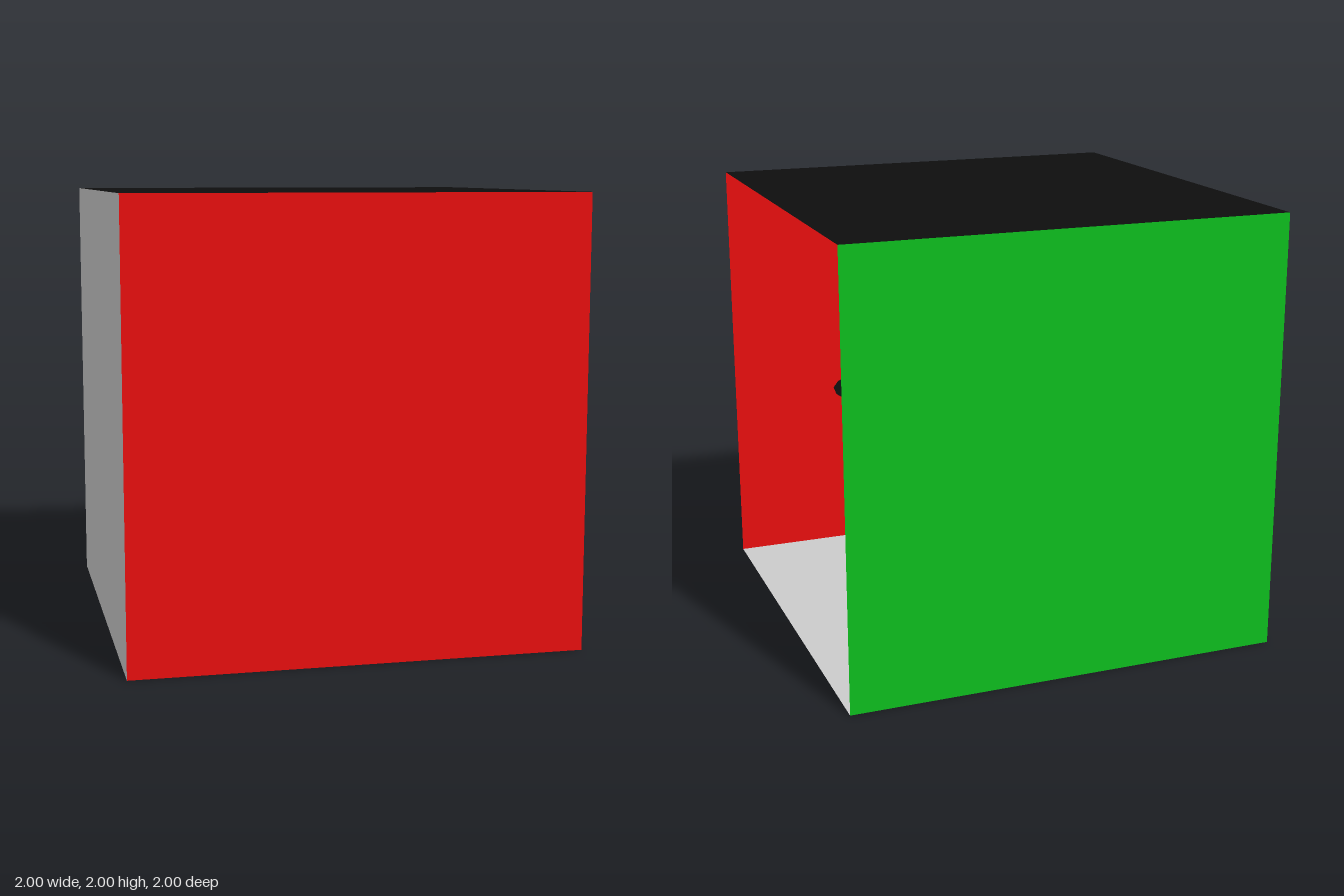
import * as THREE from 'three';

const material = (color) =>
  new THREE.MeshStandardMaterial({ color, side: THREE.DoubleSide });

function addMesh(parent, name, geometry, mat, position = [0, 0, 0], rotation = [0, 0, 0]) {
  const mesh = new THREE.Mesh(geometry, mat);
  mesh.name = name;
  mesh.position.set(...position);
  mesh.rotation.set(...rotation);
  parent.add(mesh);
  return mesh;
}

// Rippled sheet lying flat around y = 0
function rippleGeometry(width, length) {
  const geometry = new THREE.PlaneGeometry(width, length, 36, 60).rotateX(-Math.PI / 2);
  const p = geometry.attributes.position;
  for (let i = 0; i < p.count; i++) {
    const x = p.getX(i), z = p.getZ(i);
    p.setY(i, 0.014 * Math.sin(14 * x + 3 * Math.sin(4 * z)) + 0.012 * Math.sin(17 * z + 5 * x));
  }
  geometry.computeVertexNormals();
  return geometry;
}

export function createModel() {
  const model = new THREE.Group();
  const grey = material(0xcccccc);
  const red = material(0xe60e0e);
  const green = material(0x0dbc1e);
  const black = material(0x0e0e0e);
  const H = Math.PI / 2;

  // Room: five thin sheets, open on the +x side
  const room = new THREE.Group();
  room.name = 'room';
  model.add(room);
  const sheet = new THREE.PlaneGeometry(2, 2);
  addMesh(room, 'floor', sheet, grey, [0, 0, 0], [-H, 0, 0]);
  addMesh(room, 'ceiling', sheet, black, [0, 2, 0], [H, 0, 0]);
  addMesh(room, 'frontWall', sheet, red, [0, 1, 1], [0, Math.PI, 0]);
  addMesh(room, 'backWall', sheet, green, [0, 1, -1]);
  addMesh(room, 'sideWall', sheet, grey, [-1, 1, 0], [0, H, 0]);

  // Open basin, turned on the floor, with a rippled surface inside
  const basin = new THREE.Group();
  basin.name = 'basin';
  basin.position.set(-0.13, 0, 0.14);
  basin.rotation.y = -0.489;
  model.add(basin);
  const W = 0.83, L = 1.39, T = 0.485;
  for (const s of [-1, 1]) {
    addMesh(basin, 'basinLongSide', new THREE.PlaneGeometry(L, T), grey, [s * W / 2, T / 2, 0], [0, s * H, 0]);
    addMesh(basin, 'basinShortSide', new THREE.PlaneGeometry(W, T), grey, [0, T / 2, s * L / 2], [0, s > 0 ? 0 : Math.PI, 0]);
  }
  addMesh(basin, 'rippledSurface', rippleGeometry(W, L), grey, [0, 0.375, 0]);

  // Tilted beam rising out of the basin, placed by its upper corner
  const w = 0.2, h = 0.145, len = 1.15;
  const beam = new THREE.BoxGeometry(w, h, len).translate(-w / 2, -h / 2, len / 2);
  addMesh(model, 'tiltedBeam', beam, red, [-0.015, 0.78, -0.86], [0.415, 0, 0.15]);

  // Thin floating disc
  addMesh(model, 'disc', new THREE.CircleGeometry(0.36, 20), black, [0.38, 1.1, 0.01], [-H, 0, 0]);

  return model;
}
